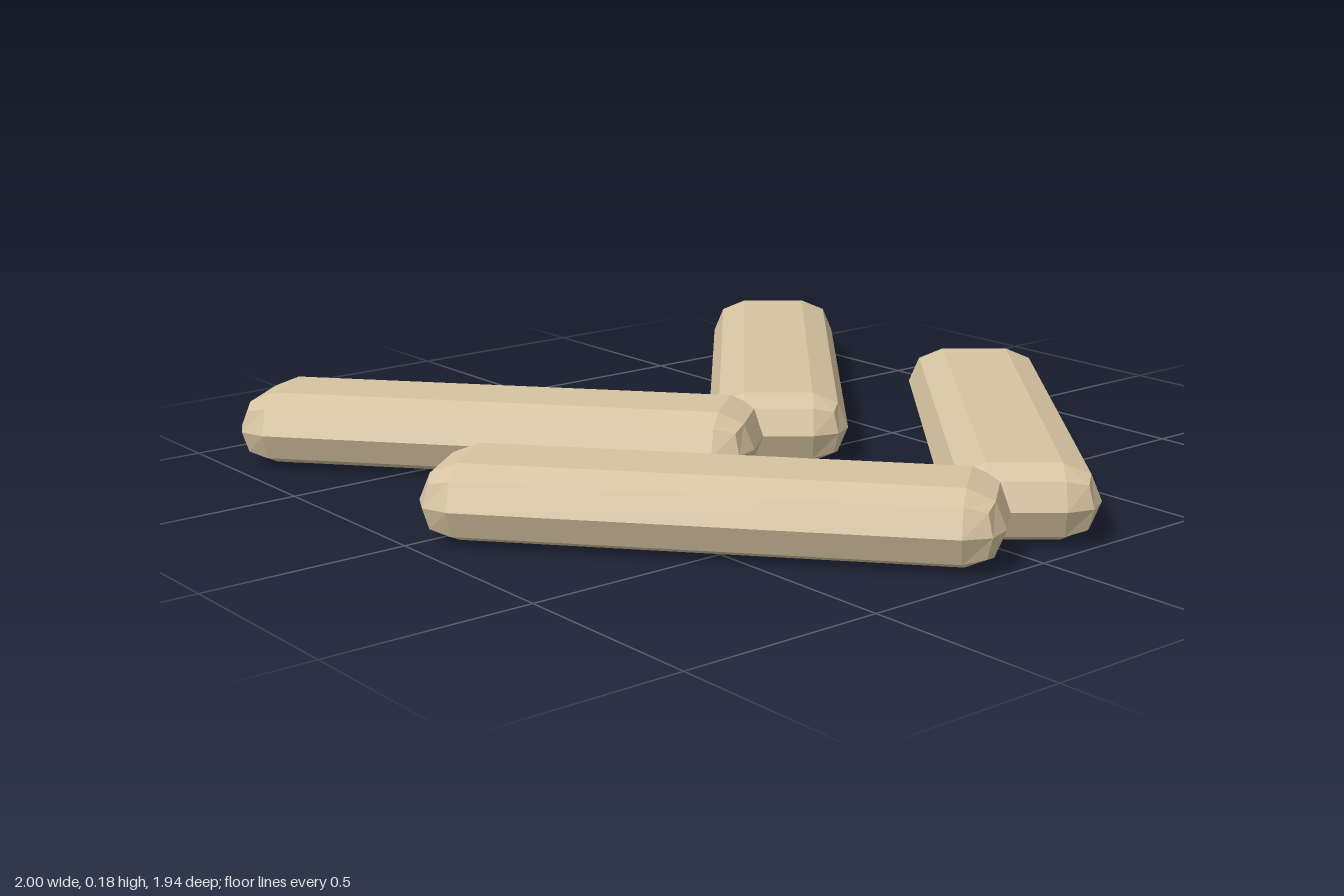
import * as THREE from 'three';
import { RoundedBoxGeometry } from 'three/addons/geometries/RoundedBoxGeometry.js';

const HEIGHT = 0.18;
const ANGLE = THREE.MathUtils.degToRad(40);

export function createModel() {
  const model = new THREE.Group();
  model.name = 'doubleChevron';

  const tan = new THREE.MeshStandardMaterial({ color: 0xd6c4a1, flatShading: true });
  tan.name = 'tan';

  // One bar: a low-poly box with fully rounded sides, two facets per quarter turn
  const barGeometry = new RoundedBoxGeometry(1.314, HEIGHT, 0.352, 1, HEIGHT / 2);

  // Two chevrons pointing to +x, each made of two mirrored bars
  for (const [name, x] of [['rightChevron', -0.42], ['leftChevron', 0.42]]) {
    const chevron = new THREE.Group();
    chevron.name = name;
    chevron.position.x = x;
    for (const side of [-1, 1]) {
      const bar = new THREE.Mesh(barGeometry, tan);
      bar.name = side > 0 ? 'frontBar' : 'backBar';
      bar.position.set(0, HEIGHT / 2, side * 0.452);
      bar.rotation.y = side * ANGLE;
      chevron.add(bar);
    }
    model.add(chevron);
  }
  return model;
}
